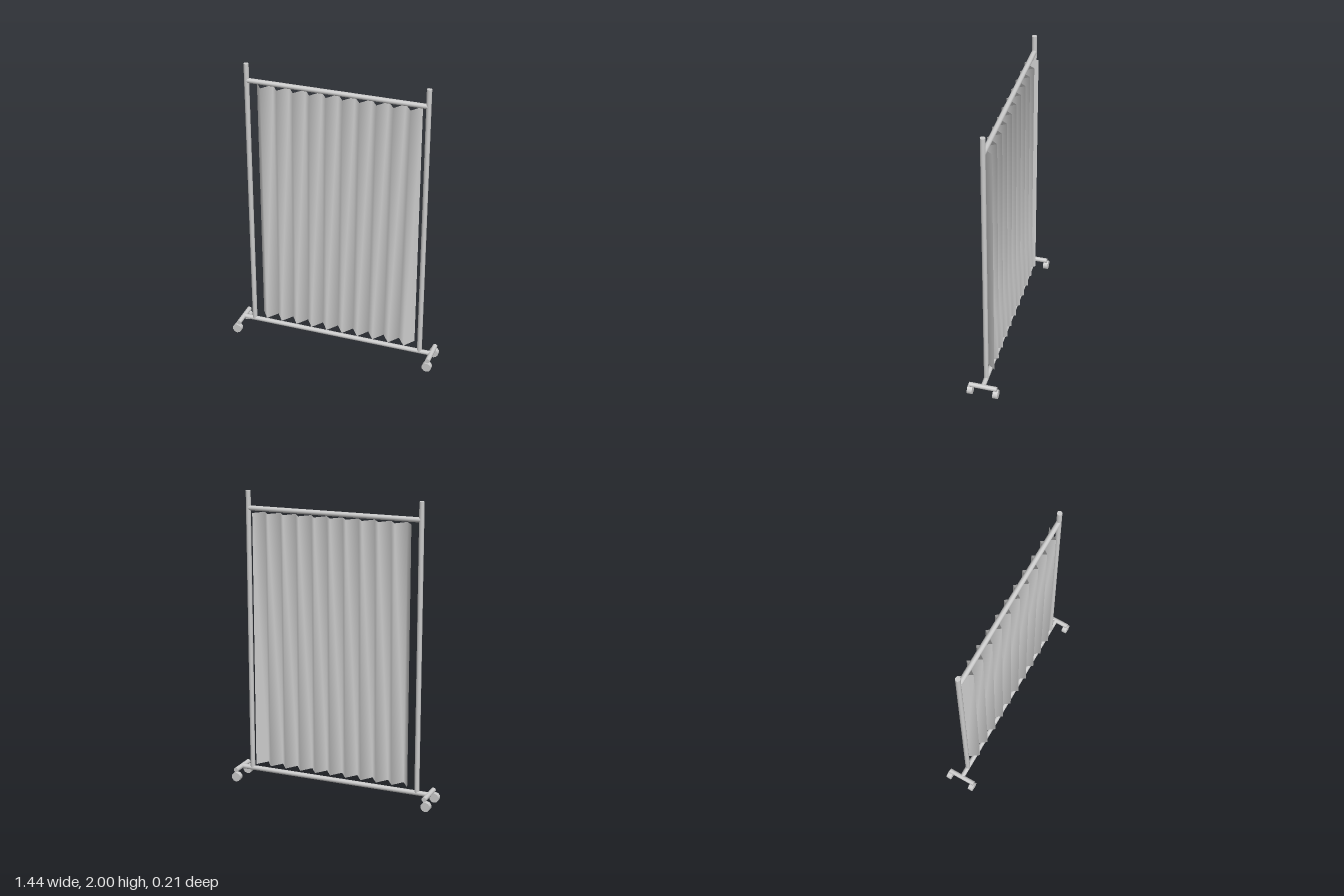
import * as THREE from 'three';

export function createModel() {
  const group = new THREE.Group();
  const material = new THREE.MeshStandardMaterial({ color: 0xcccccc });
  const clothMaterial = new THREE.MeshStandardMaterial({ color: 0xcccccc, side: THREE.DoubleSide });

  const TUBE = 0.0165; // tube radius
  const CENTRE = 0.008; // the frame sits slightly off the castors

  // Capped cylinder running along one axis
  function rod(name, axis, radius, length, x, y, z) {
    const geometry = new THREE.CylinderGeometry(radius, radius, length, 10);
    if (axis === 'x') geometry.rotateZ(Math.PI / 2);
    if (axis === 'z') geometry.rotateX(Math.PI / 2);
    const mesh = new THREE.Mesh(geometry, material);
    mesh.name = name;
    mesh.position.set(x, y, z);
    group.add(mesh);
  }

  // Horizontal rails
  rod('topRail', 'x', TUBE, 1.2, CENTRE, 1.885, 0);
  rod('bottomRail', 'x', TUBE, 1.365, CENTRE, 0.08, 0);

  for (const side of [-1, 1]) {
    const label = side > 0 ? 'left' : 'right';
    // Upright post and cross foot
    rod(label + 'Post', 'y', TUBE, 1.92, CENTRE + side * 0.6, 1.04, 0);
    rod(label + 'Foot', 'z', TUBE, 0.19, CENTRE + side * 0.683, 0.08, 0);
    // Castor wheels at both ends of the foot
    for (const end of [-1, 1]) {
      const name = label + (end > 0 ? 'Front' : 'Back') + 'Wheel';
      rod(name, 'z', 0.0325, 0.034, side * 0.687, 0.0325, end * 0.087);
    }
  }

  // Pleated curtain: a plane folded to alternate back and front
  const PLEATS = 20;
  const cloth = new THREE.PlaneGeometry(1.1, 1.735, PLEATS, 1);
  const points = cloth.attributes.position;
  for (let i = 0; i < points.count; i++) {
    const column = i % (PLEATS + 1);
    points.setZ(i, column % 2 ? 0.0395 : -0.0395);
  }
  cloth.computeVertexNormals();
  const curtain = new THREE.Mesh(cloth, clothMaterial);
  curtain.name = 'curtain';
  curtain.position.set(0.01, 0.9925, -0.002);
  group.add(curtain);

  return group;
}
